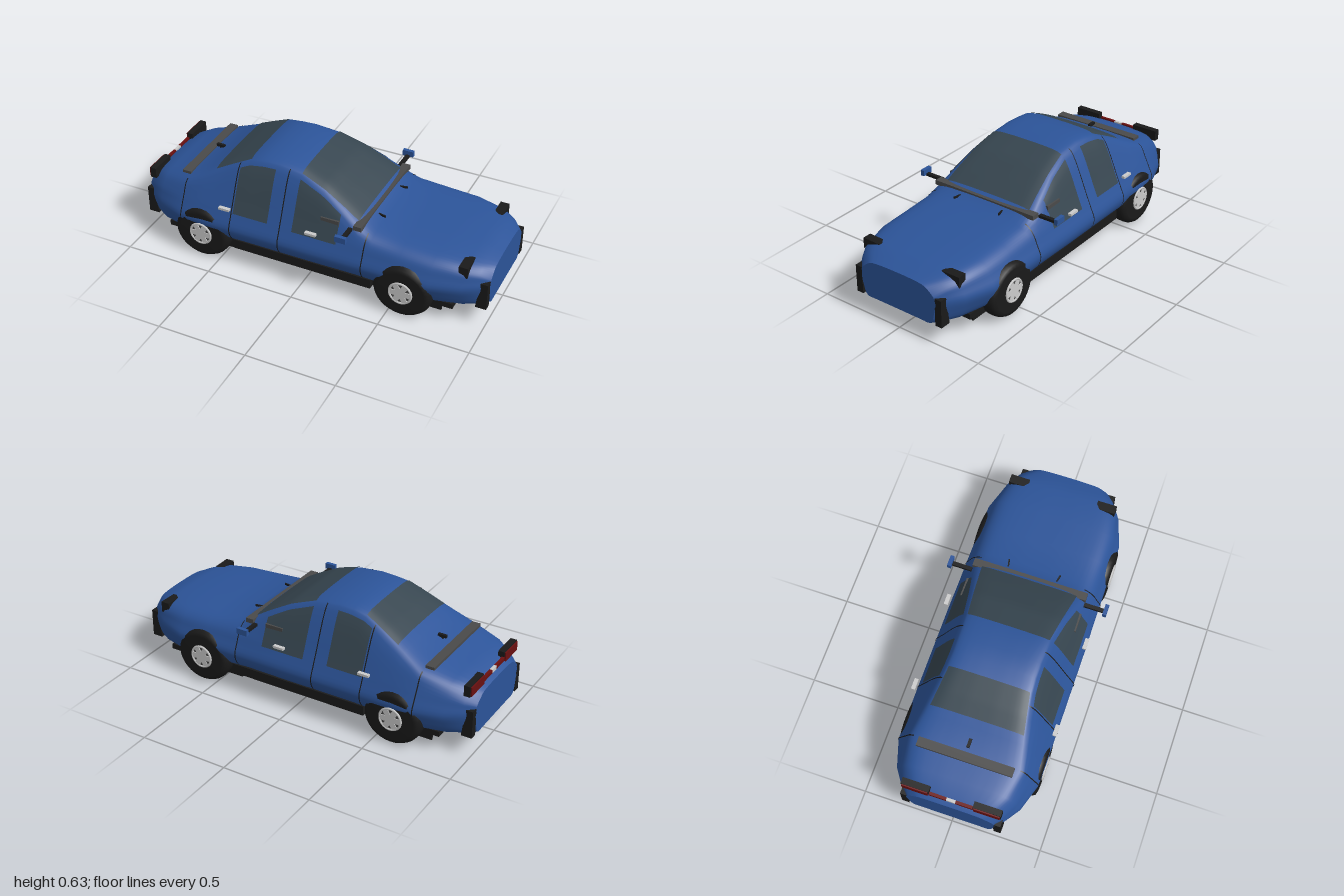
import * as THREE from 'three';

const mat = (color, side = THREE.FrontSide) => new THREE.MeshStandardMaterial({ color, side });
const paint = mat(0x2c5499);
const glass = mat(0x36454f, THREE.DoubleSide);
const black = mat(0x1a1a1a, THREE.DoubleSide);
const trim = mat(0x4a4a4a);
const metal = mat(0xc0c0c0);
const red = mat(0x6a1010);

// Body stations: x, half width, floor y, shoulder half width, shoulder y, roof half width, top y
const stations = [
  [-1, 0.245, 0.11, 0.235, 0.28, 0.2, 0.335],
  [-0.95, 0.29, 0.11, 0.275, 0.3, 0.24, 0.37],
  [-0.87, 0.345, 0.11, 0.315, 0.33, 0.28, 0.4],
  [-0.72, 0.392, 0.115, 0.34, 0.35, 0.31, 0.436],
  [-0.6, 0.395, 0.125, 0.345, 0.36, 0.285, 0.495],
  [-0.48, 0.395, 0.135, 0.345, 0.36, 0.26, 0.558],
  [-0.36, 0.395, 0.14, 0.345, 0.36, 0.24, 0.615],
  [-0.28, 0.395, 0.14, 0.345, 0.36, 0.235, 0.627],
  [-0.2, 0.395, 0.14, 0.345, 0.36, 0.235, 0.631],
  [-0.06, 0.395, 0.14, 0.345, 0.36, 0.24, 0.616],
  [0.08, 0.395, 0.14, 0.345, 0.36, 0.262, 0.565],
  [0.2, 0.393, 0.14, 0.345, 0.36, 0.288, 0.498],
  [0.3, 0.392, 0.14, 0.345, 0.355, 0.31, 0.436],
  [0.38, 0.392, 0.135, 0.345, 0.345, 0.315, 0.4],
  [0.55, 0.39, 0.125, 0.345, 0.335, 0.315, 0.388],
  [0.72, 0.388, 0.115, 0.342, 0.33, 0.31, 0.378],
  [0.88, 0.335, 0.11, 0.31, 0.315, 0.285, 0.365],
  [0.95, 0.29, 0.11, 0.27, 0.3, 0.24, 0.343],
  [1, 0.242, 0.11, 0.23, 0.27, 0.2, 0.325],
];

function stationAt(x) {
  let i = 0;
  while (i < stations.length - 2 && x > stations[i + 1][0]) i++;
  const a = stations[i], b = stations[i + 1];
  const t = (x - a[0]) / (b[0] - a[0]);
  return a.map((v, k) => v + (b[k] - v) * t);
}

// Half cross-section from the floor centre, up the +z side, to the roof centre
function halfSection(x, n = 32) {
  const [, w, yb, ws, ys, wr, yt] = stationAt(x);
  const edge = yt - Math.min(0.03, (yt - ys) * 0.5);
  const pts = [[0, yb], [w * 0.6, yb], [w * 0.86, yb + 0.004], [w * 0.96, 0.18], [w, 0.235],
    [w * 0.5 + ws * 0.5, (0.235 + ys) / 2 + 0.005], [ws, ys], [wr, edge], [wr * 0.85, yt - 0.01], [wr * 0.4, yt - 0.001], [0, yt]];
  return new THREE.CatmullRomCurve3(pts.map(([z, y]) => new THREE.Vector3(x, y, z))).getPoints(n);
}

// Joins rows of equal point counts into a surface
function skin(rows) {
  const n = rows[0].length, index = [];
  for (let i = 0; i < rows.length - 1; i++) {
    for (let j = 0; j < n - 1; j++) {
      const a = i * n + j, b = a + n;
      index.push(a, b, a + 1, b, b + 1, a + 1);
    }
  }
  const g = new THREE.BufferGeometry().setFromPoints(rows.flat());
  g.setIndex(index);
  g.computeVertexNormals();
  return g;
}

const lerp = THREE.MathUtils.lerp;
const mirrorZ = (p) => new THREE.Vector3(p.x, p.y, -p.z);

function sideZ(x, y) {
  const p = halfSection(x, 80);
  for (let i = p.length - 1; i > 0; i--) {
    if (p[i - 1].y <= y && p[i].y >= y) {
      return lerp(p[i - 1].z, p[i].z, (y - p[i - 1].y) / (p[i].y - p[i - 1].y || 1));
    }
  }
  return 0;
}

function topY(x, z) {
  const p = halfSection(x, 80);
  for (let i = p.length - 1; i > 0; i--) {
    if (p[i - 1].z >= z) return lerp(p[i].y, p[i - 1].y, (z - p[i].z) / (p[i - 1].z - p[i].z || 1));
  }
  return p[0].y;
}

export function createModel() {
  const car = new THREE.Group();
  car.name = 'car';
  const add = (name, geometry, material, parent = car) => {
    const m = new THREE.Mesh(geometry, material);
    m.name = name;
    parent.add(m);
    return m;
  };
  // Box given by its lower and upper limits on each axis
  const box = (name, x0, x1, y0, y1, z0, z1, material) => {
    const m = add(name, new THREE.BoxGeometry(x1 - x0, y1 - y0, z1 - z0), material);
    m.position.set((x0 + x1) / 2, (y0 + y1) / 2, (z0 + z1) / 2);
    return m;
  };
  const pair = (name, x0, x1, y0, y1, z0, z1, material) => {
    box(name + 'Left', x0, x1, y0, y1, -z1, -z0, material);
    box(name + 'Right', x0, x1, y0, y1, z0, z1, material);
  };

  // Body shell with flat end panels
  const ring = (x) => {
    const h = halfSection(x);
    return [...h, ...h.slice(0, -1).reverse().map(mirrorZ)];
  };
  add('bodyShell', skin(stations.map((s) => ring(s[0]))), paint);
  for (const x of [-1, 1]) {
    const r = ring(x), mid = r.map(() => new THREE.Vector3(x, 0.21, 0));
    add(x > 0 ? 'nosePanel' : 'tailPanel', skin(x > 0 ? [r, mid] : [mid, r]), paint);
  }

  // Windscreen and rear window
  const screen = (name, x0, x1, w0, w1) => {
    const rows = [];
    for (let i = 0; i <= 12; i++) {
      const x = lerp(x0, x1, i / 12), w = lerp(w0, w1, i / 12), row = [];
      for (let j = -10; j <= 10; j++) {
        const z = -w * j / 10;
        row.push(new THREE.Vector3(x, topY(x, Math.abs(z)) + 0.004, z));
      }
      rows.push(row);
    }
    add(name, skin(rows), glass);
  };
  screen('windscreen', -0.06, 0.285, 0.225, 0.27);
  screen('rearWindow', -0.56, -0.36, 0.255, 0.22);

  // Side windows
  const sideWindow = (name, x0, x1, low) => {
    const rows = [];
    for (let i = 0; i <= 10; i++) {
      const x = lerp(x0, x1, i / 10), high = stationAt(x)[6] - 0.036, row = [];
      for (let j = 0; j <= 10; j++) {
        const y = lerp(low, high, j / 10);
        row.push(new THREE.Vector3(x, y, sideZ(x, y) + 0.004));
      }
      rows.push(row);
    }
    add(name + 'Right', skin(rows), glass);
    add(name + 'Left', skin(rows.map((r) => r.map(mirrorZ).reverse())), glass);
  };
  sideWindow('rearDoorWindow', -0.41, -0.205, 0.325);
  sideWindow('frontDoorWindow', -0.06, 0.195, 0.32);

  // Panel gaps follow the body section up to the roof edge
  for (const x of [-0.72, -0.42, -0.13, 0.35]) {
    const strip = (px) => halfSection(px, 60).slice(14, 46)
      .map((p) => new THREE.Vector3(p.x, p.y + 0.001, p.z + 0.003));
    const rows = [strip(x - 0.003), strip(x + 0.003)];
    add('panelGapRight', skin(rows), black);
    add('panelGapLeft', skin(rows.map((r) => r.map(mirrorZ).reverse())), black);
  }

  // Wheels: rounded tyre, hub disc and spokes
  const tyreProfile = [[0, -0.05], [0.12, -0.05], [0.14, -0.044], [0.15, -0.025], [0.152, 0], [0.15, 0.025], [0.14, 0.044], [0.12, 0.05], [0, 0.05]]
    .map(([r, y]) => new THREE.Vector2(r, y));
  for (const x of [-0.6, 0.575]) {
    for (const s of [-1, 1]) {
      const wheel = new THREE.Group();
      wheel.name = (x > 0 ? 'front' : 'rear') + 'Wheel' + (s > 0 ? 'Right' : 'Left');
      wheel.position.set(x, 0.153, s * 0.342);
      if (s < 0) wheel.rotation.y = Math.PI;
      const tyre = add('tyre', new THREE.LatheGeometry(tyreProfile, 32).rotateX(Math.PI / 2), black, wheel);
      tyre.scale.x = 1.08;
      const hub = add('hub', new THREE.CylinderGeometry(0.067, 0.067, 0.006, 28).rotateX(Math.PI / 2), trim, wheel);
      hub.position.z = 0.05;
      add('rim', new THREE.TorusGeometry(0.061, 0.007, 6, 28), metal, wheel).position.z = 0.052;
      add('hubCap', new THREE.CylinderGeometry(0.025, 0.025, 0.012, 16).rotateX(Math.PI / 2), metal, wheel).position.z = 0.051;
      for (let k = 0; k < 6; k++) {
        const spoke = new THREE.BoxGeometry(0.05, 0.032, 0.008).translate(0.035, 0, 0.053).rotateZ(k * Math.PI / 3);
        add('spoke', spoke, metal, wheel);
      }
      car.add(wheel);
    }
  }

  // Underbody, sills and wheel well plates
  box('underbody', -0.84, 0.835, 0.088, 0.118, -0.32, 0.32, black);
  pair('sill', -0.42, 0.39, 0.09, 0.145, 0.3, 0.355, black);
  pair('rearWellPlate', -0.78, -0.415, 0.022, 0.11, 0.265, 0.277, black);
  pair('frontWellPlate', 0.39, 0.76, 0.022, 0.11, 0.265, 0.277, black);

  // Tapered corner guards at nose and tail
  const guard = new THREE.Shape([[0, 0.11], [0, 0.265], [-0.04, 0.265], [-0.06, 0.11]].map(([x, y]) => new THREE.Vector2(x, y)));
  for (const end of [-1, 1]) {
    for (const s of [-1, 1]) {
      const g = new THREE.ExtrudeGeometry(guard, { depth: 0.04, bevelEnabled: false }).translate(0, 0, -0.02);
      const m = add('cornerGuard', g, black);
      m.position.set(end, 0, s * 0.257);
      if (end < 0) m.rotation.y = Math.PI;
    }
  }

  // Headlights: wedges set into the front corners
  const lamp = new THREE.Shape([[0.2, 0.36], [0.31, 0.362], [0.31, 0.3], [0.285, 0.33]].map(([z, y]) => new THREE.Vector2(z, y)));
  for (const s of [-1, 1]) {
    const g = new THREE.ExtrudeGeometry(lamp, { depth: 0.05, bevelEnabled: false }).rotateY(-Math.PI / 2);
    const m = add('headlight', g, black);
    m.position.x = 0.9;
    m.scale.z = s;
  }

  // Tail lights and centre strip
  pair('tailLight', -0.975, -0.94, 0.34, 0.4, 0.12, 0.272, black);
  pair('tailLens', -0.982, -0.975, 0.345, 0.395, 0.125, 0.267, red);
  pair('tailStrip', -0.978, -0.962, 0.352, 0.372, 0.025, 0.12, red);
  box('plateLight', -0.978, -0.962, 0.352, 0.372, -0.025, 0.025, metal);

  // Cowl, rear deck strip, wipers and aerial
  box('cowl', 0.275, 0.32, 0.41, 0.436, -0.322, 0.322, trim);
  box('rearDeckStrip', -0.77, -0.72, 0.425, 0.441, -0.262, 0.262, trim);
  for (const z of [-0.14, 0.14]) box('wiper', 0.315, 0.38, 0.408, 0.418, z - 0.004, z + 0.004, black).rotation.y = 0.2 * Math.sign(-z);
  box('aerialBase', -0.685, -0.672, 0.44, 0.468, -0.005, 0.005, black);
  box('aerial', -0.703, -0.655, 0.463, 0.478, -0.008, 0.008, black);

  // Mirrors, quarter-window trims and door handles
  pair('mirrorStalk', 0.248, 0.27, 0.405, 0.42, 0.32, 0.435, black);
  pair('mirror', 0.228, 0.29, 0.41, 0.443, 0.43, 0.451, paint);
  pair('mirrorTrim', 0.09, 0.195, 0.402, 0.437, 0.28, 0.325, trim);
  for (const x of [-0.442, 0.066]) pair('doorHandle', x - 0.031, x + 0.031, 0.36, 0.373, 0.383, 0.404, metal);

  return car;
}
